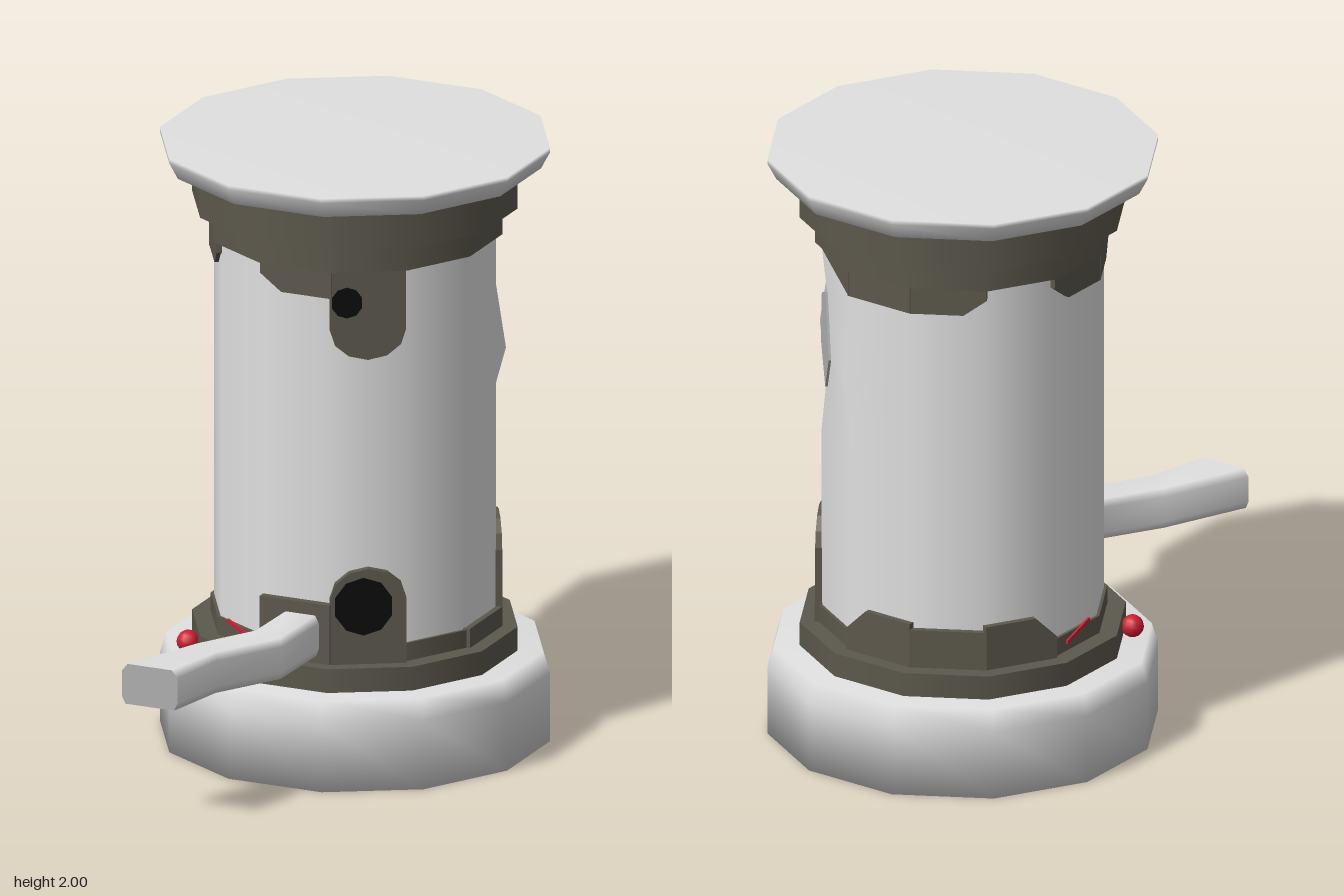
import * as THREE from 'three';

const SIDES = 12;
const DEG = Math.PI / 180;
const START = 16.5 * DEG; // angle of the first corner; facets face 1.5 + 30k degrees

const mat = (name, color, side = THREE.FrontSide) => {
  const m = new THREE.MeshStandardMaterial({ color, side });
  m.name = name;
  return m;
};

export function createModel() {
  const white = mat('white', 0xe0e0e0);
  const dark = mat('dark olive grey', 0x5c584c);
  const black = mat('black', 0x0b0b0b);
  const red = mat('red', 0xcc1e30);
  const grey = mat('grey', 0xb0b0b0);

  const model = new THREE.Group();
  const tower = new THREE.Group();
  tower.name = 'tower';
  tower.position.z = -0.28;
  model.add(tower);

  const add = (name, geometry, material, parent = tower) => {
    const mesh = new THREE.Mesh(geometry, material);
    mesh.name = name;
    parent.add(mesh);
    return mesh;
  };
  const lathe = (pts) =>
    new THREE.LatheGeometry(pts.map((p) => new THREE.Vector2(...p)), SIDES, START);
  const ring = (name, r, y0, y1) => {
    const g = new THREE.CylinderGeometry(r, r, y1 - y0, SIDES, 1, false, START);
    add(name, g, dark).position.y = (y0 + y1) / 2;
  };
  // Flat plate on one facet; points are (sideways, height)
  const plate = (name, deg, points, reach, depth, material) => {
    const shape = new THREE.Shape(points.map((p) => new THREE.Vector2(...p)));
    const g = new THREE.ExtrudeGeometry(shape, { depth, bevelEnabled: false });
    g.translate(0, 0, reach - depth);
    add(name, g, material).rotation.y = deg * DEG;
  };

  // Base and cap
  add('base', lathe([[0, 0], [0.633, 0], [0.633, 0.23], [0.612, 0.3], [0, 0.3]]), white);
  add('cap', lathe([[0, 1.93], [0.604, 1.93], [0.633, 1.985], [0.633, 2], [0, 2]]), white);

  // Body, with a bulge around the damaged patch
  const body = lathe([0.38, 1.04, 1.2, 1.32, 1.53, 1.7].map((y) => [0.458, y]));
  const pos = body.attributes.position;
  for (let i = 0; i < pos.count; i++) {
    const x = pos.getX(i), y = pos.getY(i), z = pos.getZ(i);
    const angle = Math.round((Math.atan2(x, z) / DEG) * 10) / 10;
    let r = 0.458;
    if (Math.abs(angle - 136.5) < 1 && y > 1.1 && y < 1.6) r = 0.44;
    if (Math.abs(Math.abs(angle - 136.5) - 30) < 1 && Math.abs(y - 1.32) < 0.01) r = 0.49;
    pos.setX(i, (x * r) / 0.458);
    pos.setZ(i, (z * r) / 0.458);
  }
  add('body', body, white);
  plate('damagedPatch', 136.5,
    [[-0.08, 1.33], [-0.06, 1.5], [0.01, 1.53], [0.08, 1.32], [0.01, 1.2]].reverse(),
    0.447, 0.008, grey);

  // Collars
  ring('lowerRing', 0.528, 0.3, 0.38);
  ring('lowerCollar', 0.468, 0.38, 0.44);
  ring('upperCollar', 0.478, 1.7, 1.79);
  ring('upperRing', 0.528, 1.79, 1.93);

  // Round-ended tabs
  const tab = (name, deg, from, tip, reach) => {
    const w = 0.122, d = Math.sign(tip - from);
    const pts = [[-w, from], [w, from]];
    for (let i = 0; i <= 6; i++) {
      const a = (i / 6) * Math.PI;
      pts.push([w * Math.cos(a), tip - d * 0.1 * (1 - Math.sin(a))]);
    }
    plate(name, deg, pts, reach, 0.05, dark);
  };
  tab('lowerFrontTab', 31.5, 0.38, 0.7, 0.468);
  tab('upperFrontTab', 31.5, 1.7, 1.4, 0.453);
  tab('rearTab', 121.5, 0.38, 0.735, 0.462);

  // Black round openings
  const port = (name, t, y, r, reach) => {
    const g = new THREE.CylinderGeometry(r, r, 0.009, 10);
    g.rotateX(Math.PI / 2).translate(t, y, reach);
    add(name, g, black).rotation.y = 31.5 * DEG;
  };
  port('lowerPort', -0.016, 0.575, 0.096, 0.472);
  port('upperPort', -0.068, 1.595, 0.051, 0.456);

  // Collar flaps, each with a cut corner where it ends
  const W = 0.125;
  const flap = (name, deg, from, to, reach, cutStart, cutEnd) => {
    const mid = from + (to - from) * 0.5;
    const pts = [[-W, from], [W, from]];
    pts.push(...(cutEnd ? [[W, mid], [W * 0.4, to]] : [[W, to]]));
    pts.push(...(cutStart ? [[-W * 0.4, to], [-W, mid]] : [[-W, to]]));
    plate(name, deg, pts, reach, 0.04, dark);
  };
  flap('upperFlap', 1.5, 1.72, 1.61, 0.456, true, false);
  flap('upperFlap', 181.5, 1.72, 1.61, 0.456, false, false);
  flap('upperFlap', 211.5, 1.72, 1.61, 0.456, false, true);
  flap('upperFlap', 271.5, 1.72, 1.61, 0.456, true, false);
  flap('upperFlap', 301.5, 1.72, 1.61, 0.456, false, true);
  plate('slopedFlap', 151.5, [[-W, 1.71], [W, 1.71], [W, 1.61]], 0.456, 0.04, dark);
  flap('lowerFlap', 91.5, 0.38, 0.445, 0.462, false, false);
  flap('lowerFlap', 121.5, 0.38, 0.445, 0.464, false, false);
  flap('lowerFlap', 181.5, 0.38, 0.53, 0.462, true, false);
  flap('lowerFlap', 211.5, 0.38, 0.51, 0.462, false, false);
  flap('lowerFlap', 241.5, 0.38, 0.53, 0.462, false, true);
  plate('leverMount', 1.5, [[-0.12, 0.38], [W, 0.38], [W, 0.58], [-0.12, 0.58]], 0.468, 0.05, dark);

  // Red knob and red trim
  add('redKnob', new THREE.SphereGeometry(0.037, 12, 8), red).position.set(-0.435, 0.335, 0.325);
  for (const [deg, slope] of [[271.5, 0.02], [331.5, -0.012]]) {
    plate('redTrim', deg,
      [[-0.06, 0.425 - slope], [0.06, 0.425 + slope], [0.06, 0.437 + slope], [-0.06, 0.437 - slope]],
      0.459, 0.008, red);
  }

  // Bent lever lofted through sections: left x, left z, right x, right z
  const sections = [
    [-0.03, 0.16, 0.1, 0.16], [-0.03, 0.4, 0.1, 0.45],
    [-0.14, 0.6, -0.025, 0.67], [-0.255, 0.89, -0.06, 0.885],
  ];
  const outline = [[0.06, 0.405], [0.94, 0.405], [1, 0.43], [1, 0.515], [0.9, 0.54], [0.1, 0.54], [0, 0.515], [0, 0.43]];
  const n = outline.length;
  const verts = [], index = [], capIndex = [];
  sections.forEach(([lx, lz, rx, rz], s) => {
    for (const [t, y] of outline) verts.push(lx + (rx - lx) * t, y, lz + (rz - lz) * t);
    for (let i = 0; s > 0 && i < n; i++) {
      const a = (s - 1) * n + i, b = (s - 1) * n + ((i + 1) % n);
      index.push(a, b, a + n, b, b + n, a + n);
    }
  });
  const leverGeometry = new THREE.BufferGeometry();
  leverGeometry.setAttribute('position', new THREE.Float32BufferAttribute(verts, 3));
  leverGeometry.setIndex(index);
  leverGeometry.computeVertexNormals();
  add('lever', leverGeometry, white, model);

  // Closed lever end
  for (let i = 1; i < n - 1; i++) capIndex.push(0, i, i + 1);
  const endGeometry = new THREE.BufferGeometry();
  endGeometry.setAttribute('position', new THREE.Float32BufferAttribute(verts.slice(-3 * n), 3));
  endGeometry.setIndex(capIndex);
  endGeometry.computeVertexNormals();
  add('leverEnd', endGeometry, grey, model);

  return model;
}
